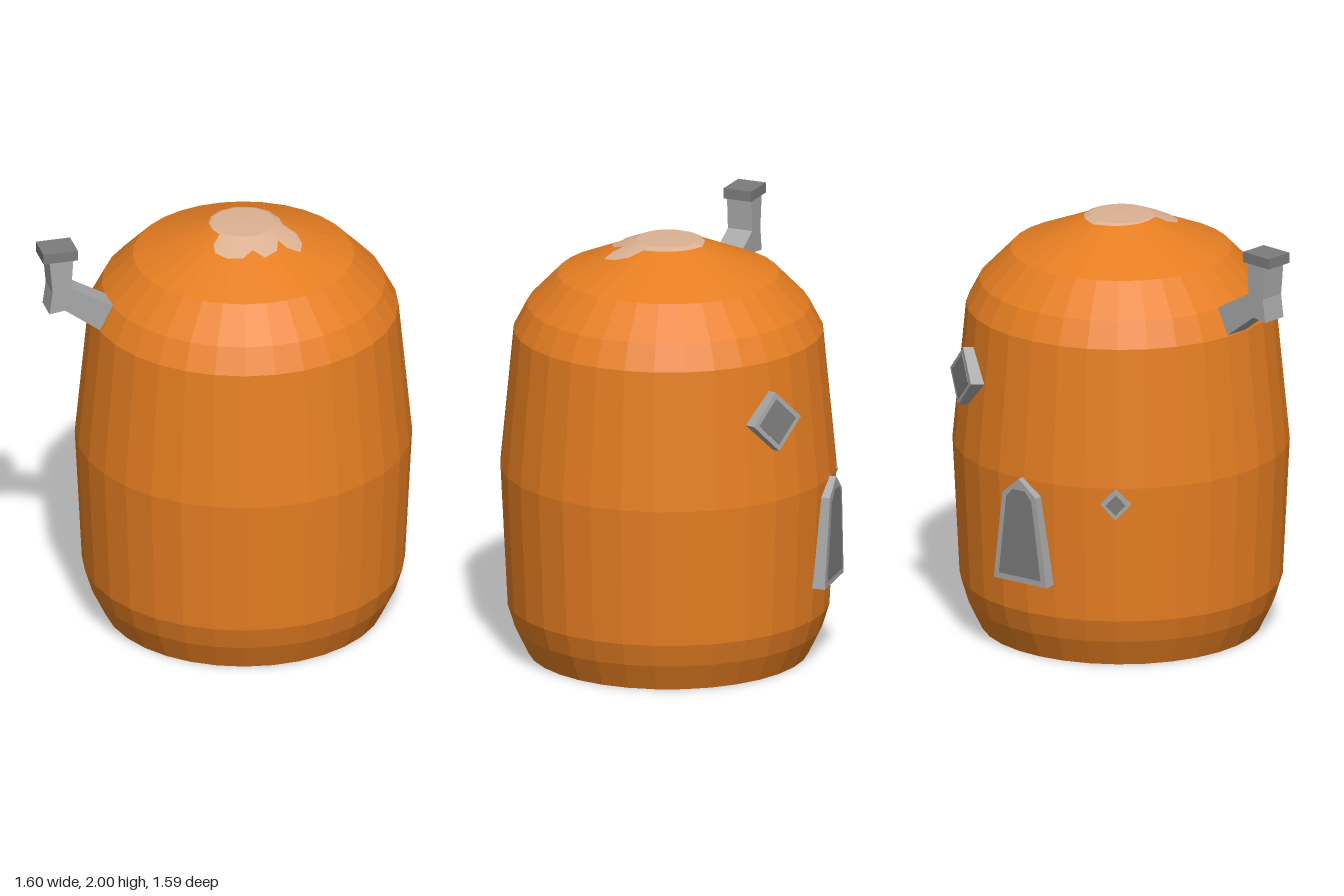
import * as THREE from 'three';

const mat = (name, color, extra = {}) => {
  const m = new THREE.MeshStandardMaterial({ color, flatShading: true, ...extra });
  m.name = name;
  return m;
};

const shapeOf = pts => new THREE.Shape(pts.map(([x, y]) => new THREE.Vector2(x, y)));

const extrude = (pts, depth) =>
  new THREE.ExtrudeGeometry(shapeOf(pts), { depth, bevelEnabled: false });

// Body profile: [radius, height] from the base to the crown
const PROFILE = [
  [0, 0], [0.655, 0], [0.718, 0.13], [0.752, 0.24], [0.785, 0.9],
  [0.722, 1.56], [0.66, 1.68], [0.515, 1.83], [0.15, 1.985], [0, 1.988],
];
const crownHeight = r => (r < 0.15 ? 1.988 - r * 0.02 : 1.985 - (r - 0.15) * 0.425);

export function createModel() {
  const group = new THREE.Group();
  const orange = mat('orange shell', 0xe67e22);
  const cream = mat('cream topping', 0xdcb192, { side: THREE.DoubleSide });
  const lightGrey = mat('light grey', 0xa8a8a8);
  const darkGrey = mat('dark grey', 0x7c7c7c);

  const add = (name, geo, material, parent = group) => {
    const mesh = new THREE.Mesh(geo, material);
    mesh.name = name;
    parent.add(mesh);
    return mesh;
  };

  // Barrel-shaped house body
  const body = add('body', new THREE.LatheGeometry(
    PROFILE.map(([r, y]) => new THREE.Vector2(r, y)), 32), orange);
  body.position.set(0.01, 0, 0.01);

  // Topping with drips, draped over the crown
  const drip = [
    [-0.155, 0], [-0.14, -0.07], [-0.09, -0.14], [0, -0.165], [0.07, -0.155],
    [0.14, -0.11], [0.18, -0.06], [0.25, -0.05], [0.3, 0], [0.32, 0.07],
    [0.26, 0.09], [0.21, 0.075], [0.23, 0.14], [0.2, 0.21], [0.13, 0.2],
    [0.11, 0.26], [0.04, 0.285], [-0.03, 0.265], [-0.055, 0.22],
    [-0.05, 0.16], [-0.1, 0.125], [-0.14, 0.07],
  ];
  const verts = [0.01, 1.996, 0.01];
  const faces = [];
  const n = drip.length;
  drip.forEach(([x, z], i) => {
    const dx = x - 0.01, dz = z - 0.01, r = Math.hypot(dx, dz);
    for (const t of [Math.min(1, 0.148 / r), 1]) {
      verts.push(0.01 + dx * t, crownHeight(r * t) + 0.008, 0.01 + dz * t);
    }
    const a = 1 + 2 * i, b = 1 + 2 * ((i + 1) % n);
    faces.push(0, a, b, a, a + 1, b + 1, a, b + 1, b);
  });
  const topping = new THREE.BufferGeometry();
  topping.setAttribute('position', new THREE.Float32BufferAttribute(verts, 3));
  topping.setIndex(faces);
  topping.computeVertexNormals();
  add('topping', topping, cream);

  // Bent chimney pipe with a cap, pointing out over the front corner
  const chimney = new THREE.Group();
  chimney.name = 'chimney';
  chimney.rotation.y = Math.atan2(-0.6, -0.8);
  group.add(chimney);
  add('chimneyPipe', extrude([
    [0.7, 1.555], [0.88, 1.69], [0.955, 1.68], [0.94, 1.79], [0.955, 1.952],
    [0.84, 1.952], [0.85, 1.8], [0.64, 1.68],
  ], 0.125), lightGrey, chimney).position.z = -0.1;
  add('chimneyCap', new THREE.BoxGeometry(0.165, 0.05, 0.14), darkGrey, chimney)
    .position.set(0.903, 1.975, -0.038);

  // Framed opening: a thick frame slab with a thin inset panel on its face
  const opening = (name, pts, inset, dirX, dirZ, dist, y, tilt) => {
    const g = new THREE.Group();
    g.name = name;
    const len = Math.hypot(dirX, dirZ);
    g.position.set(dirX / len * dist, y, dirZ / len * dist);
    g.rotation.order = 'YXZ';
    g.rotation.set(-tilt, Math.atan2(dirX, dirZ), 0);
    add(name + 'Frame', extrude(pts, 0.08), lightGrey, g).position.z = -0.08;
    add(name + 'Panel', extrude(inset, 0.004), darkGrey, g);
    group.add(g);
  };
  const diamond = (w, h) => [[0, -h], [w, 0], [0, h], [-w, 0]];

  opening('door',
    [[-0.15, -0.25], [0.15, -0.25], [0.095, 0.18], [0, 0.26], [-0.095, 0.18]],
    [[-0.118, -0.22], [0.118, -0.22], [0.07, 0.165], [0.035, 0.205], [-0.035, 0.205], [-0.07, 0.165]],
    -0.54, -0.55, 0.797, 0.65, -0.02);
  opening('largeWindow', diamond(0.14, 0.14), diamond(0.108, 0.108), -0.135, -0.74, 0.787, 1.29, 0.09);
  opening('smallWindow', diamond(0.07, 0.075), diamond(0.046, 0.05), -0.765, -0.15, 0.79, 0.825, -0.03);

  return group;
}
